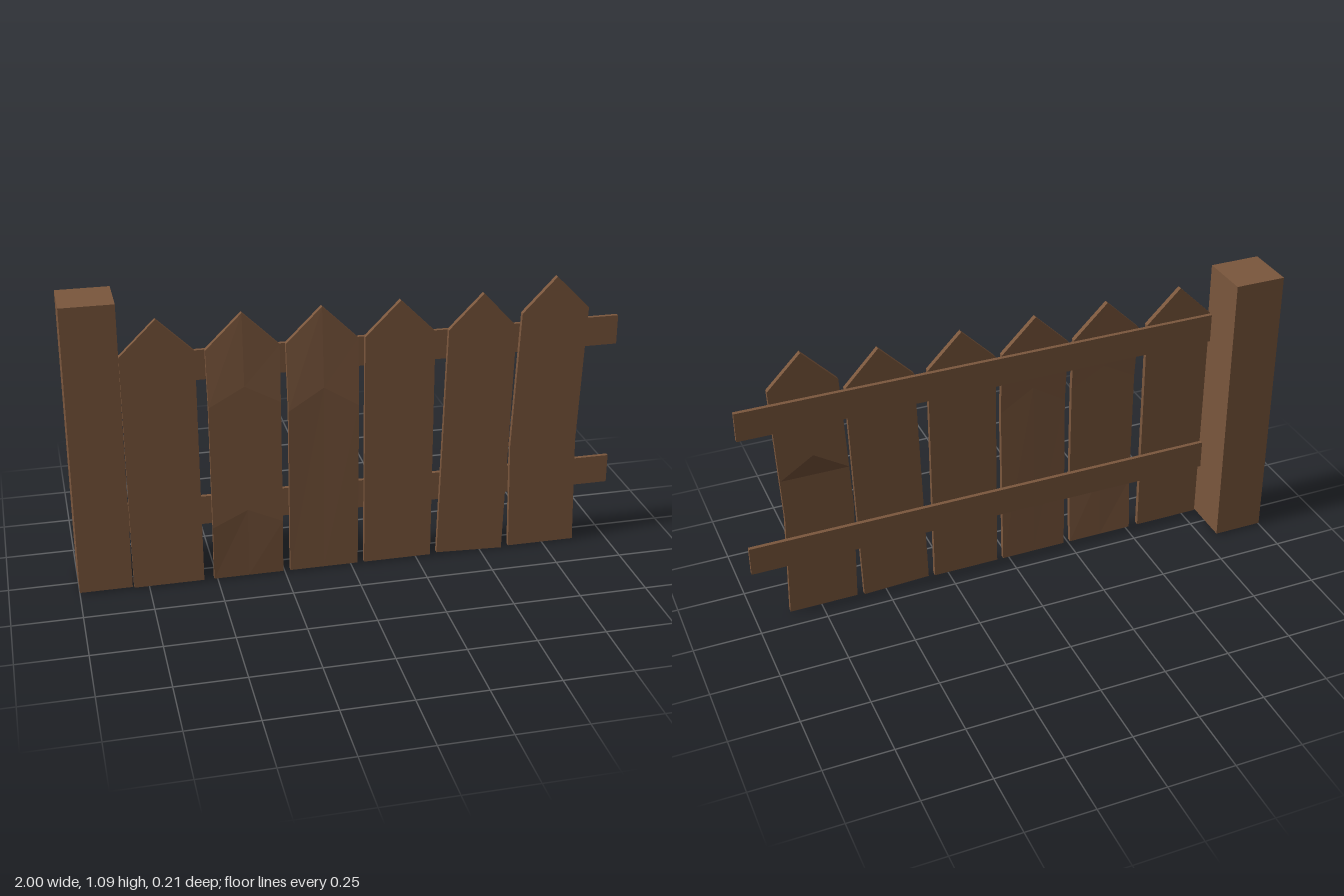
import * as THREE from 'three';

const wood = new THREE.MeshStandardMaterial({ color: 0x7a563c, flatShading: true });
const BACK = 0.073, FRONT = 0.092;

// Box given by its extents
function block(name, x0, x1, y0, y1, z0, z1) {
  const mesh = new THREE.Mesh(new THREE.BoxGeometry(x1 - x0, y1 - y0, z1 - z0), wood);
  mesh.position.set((x0 + x1) / 2, (y0 + y1) / 2, (z0 + z1) / 2);
  mesh.name = name;
  return mesh;
}

// Picket lofted through rows: [left x, left y, right x, right y, peak height, forward bend]
function picket(rows) {
  const pos = [], index = [];
  for (const [xl, yl, xr, yr, peak, bend = 0] of rows) {
    const edge = [[xl, yl], [(xl + xr) / 2, (yl + yr) / 2 + peak], [xr, yr]];
    for (const [x, y] of edge) pos.push(x, y, FRONT + bend);
    for (const [x, y] of edge.reverse()) pos.push(x, y, BACK + bend);
  }
  const quad = (a, b, c, d) => index.push(a, b, c, a, c, d);
  for (let r = 0; r < rows.length - 1; r++) {
    for (let i = 0; i < 6; i++) {
      const j = (i + 1) % 6, o = r * 6;
      quad(o + i, o + j, o + 6 + j, o + 6 + i);
    }
  }
  const t = (rows.length - 1) * 6;
  quad(t, t + 1, t + 4, t + 5);
  quad(t + 1, t + 2, t + 3, t + 4);
  quad(5, 4, 1, 0);
  quad(4, 3, 2, 1);
  const geo = new THREE.BufferGeometry();
  geo.setAttribute('position', new THREE.Float32BufferAttribute(pos, 3));
  geo.setIndex(index);
  const flat = geo.toNonIndexed();
  flat.computeVertexNormals();
  return new THREE.Mesh(flat, wood);
}

// Straight row between two x values
const row = (xl, xr, y, peak = 0, bend = 0) => [xl, y, xr, y, peak, bend];

export function createModel() {
  const fence = new THREE.Group();
  fence.name = 'fence';

  fence.add(block('post', -1, -0.81, 0.005, 1.09, -0.105, 0.085));
  fence.add(block('lowerRail', -0.81, 1, 0.225, 0.335, 0.058, BACK));
  fence.add(block('upperRail', -0.81, 1, 0.787, 0.897, 0.058, BACK));

  const pickets = [
    [row(-0.805, -0.55, 0.005), row(-0.81, -0.55, 0.9, 0.127)],
    // two pickets bowed forward
    [row(-0.513, -0.257, 0.005), row(-0.513, -0.257, 0.22, 0.06, 0.015),
      row(-0.513, -0.257, 0.69, 0.07, 0.015), row(-0.515, -0.255, 0.9, 0.127)],
    [row(-0.23, 0.025, 0.005), row(-0.23, 0.025, 0.65, 0.08, 0.015),
      row(-0.233, 0.025, 0.9, 0.127)],
    [row(0.05, 0.305, 0.005), row(0.05, 0.305, 0.9, 0.127)],
    // leaning picket
    [[0.33, 0.01, 0.585, 0, 0], [0.355, 0.9, 0.607, 0.895, 0.13]],
    // crooked end picket
    [row(0.613, 0.87, 0.005), row(0.603, 0.857, 0.42, 0.06),
      [0.627, 0.94, 0.877, 0.945, 0.127]],
  ];
  pickets.forEach((rows, i) => {
    const mesh = picket(rows);
    mesh.name = `picket${i + 1}`;
    fence.add(mesh);
  });

  // Splinter on the back of the end picket
  const splinter = new THREE.BufferGeometry().setFromPoints([
    new THREE.Vector3(0.86, 0.58, 0.0725),
    new THREE.Vector3(0.61, 0.58, 0.0725),
    new THREE.Vector3(0.737, 0.66, 0.0715),
  ]);
  splinter.setAttribute('normal', new THREE.Float32BufferAttribute([0, 1, 0, 0, 1, 0, 0, 1, 0], 3));
  const splinterMesh = new THREE.Mesh(splinter, new THREE.MeshStandardMaterial({ color: 0x7a563c }));
  splinterMesh.name = 'splinter';
  fence.add(splinterMesh);

  return fence;
}
